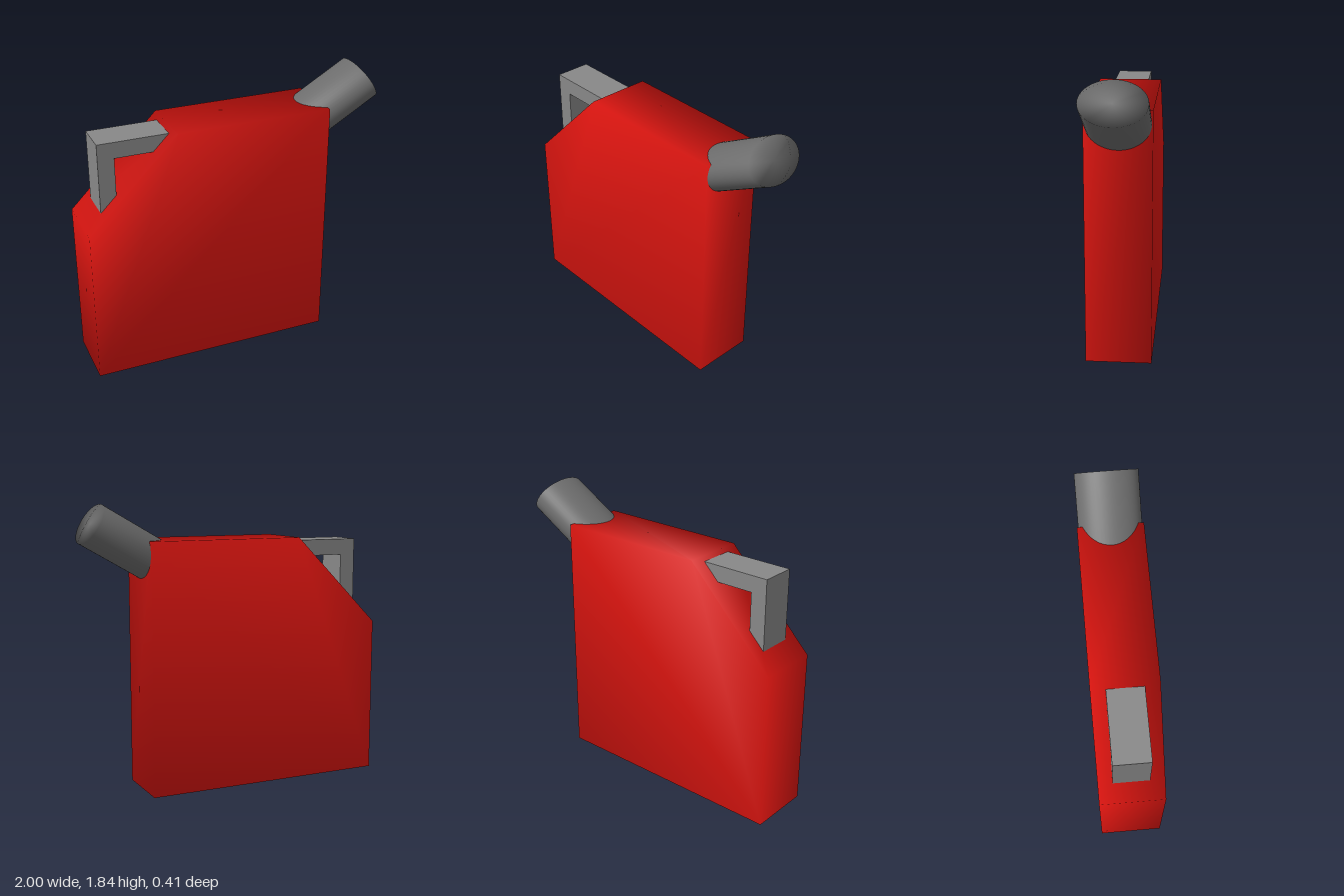
import * as THREE from 'three';
import { mergeVertices } from 'three/addons/utils/BufferGeometryUtils.js';

// Weld all corners so the shading rolls softly over every edge
function softened(geometry) {
  geometry.deleteAttribute('normal');
  geometry.deleteAttribute('uv');
  const welded = mergeVertices(geometry, 1e-4);
  welded.computeVertexNormals();
  return welded;
}

function addMesh(parent, name, geometry, color) {
  const mesh = new THREE.Mesh(geometry, new THREE.MeshStandardMaterial({ color }));
  mesh.name = name;
  parent.add(mesh);
  return mesh;
}

// Solid extruded along z and centred on z = 0
function slab(points, depth) {
  const shape = new THREE.Shape(points.map(([x, y]) => new THREE.Vector2(x, y)));
  return new THREE.ExtrudeGeometry(shape, { depth, bevelEnabled: false }).translate(0, 0, -depth / 2);
}

export function createModel() {
  const group = new THREE.Group();
  group.name = 'fuelCan';

  // Flat can with one cut corner
  const outline = [[-1, 0], [0.61, 0], [0.61, 1.615], [-0.415, 1.615], [-1, 1.03]];
  addMesh(group, 'canBody', softened(slab(outline, 0.415)), 0xdd1510);

  // Angled handle bridging the cut corner, ends sunk into the body
  const bar = [
    [-0.895, 1.08], [-0.79, 1.08], [-0.79, 1.485], [-0.42, 1.485],
    [-0.42, 1.59], [-0.895, 1.59],
  ];
  addMesh(group, 'handle', slab(bar, 0.23), 0x888888);

  // Oval spout, tilted 30 degrees above horizontal
  const length = 0.75;
  const tilt = Math.PI / 6;
  const spoutGeometry = new THREE.CylinderGeometry(0.2, 0.2, length, 48);
  spoutGeometry.scale(0.139 / 0.2, 1, 1);
  const spout = addMesh(group, 'spout', softened(spoutGeometry), 0x6c6c6c);
  spout.rotation.z = tilt - Math.PI / 2;
  spout.position.set(
    0.928 - Math.cos(tilt) * length / 2,
    1.718 - Math.sin(tilt) * length / 2,
    0,
  );

  return group;
}
